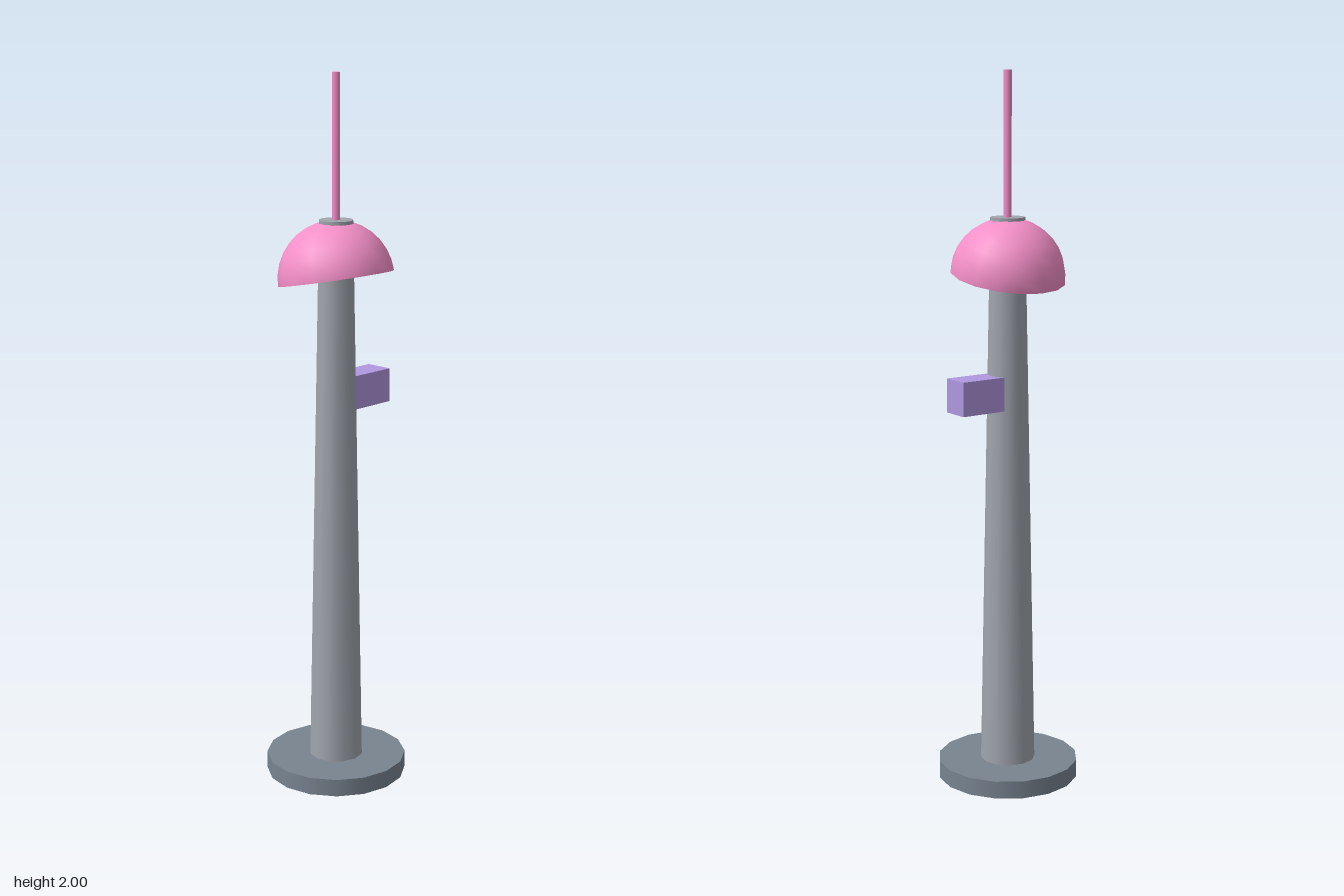
import * as THREE from 'three';

export function createModel() {
  const model = new THREE.Group();

  const add = (name, geometry, color, y, side = THREE.FrontSide) => {
    const mesh = new THREE.Mesh(geometry, new THREE.MeshStandardMaterial({ color, side }));
    mesh.name = name;
    mesh.position.y = y;
    model.add(mesh);
    return mesh;
  };

  // Round foot plate
  add('base', new THREE.CylinderGeometry(0.2, 0.2, 0.05, 16), 0x788490, 0.025);

  // Tapered mast, sunk into the base and just piercing the dome
  const bottom = 0.02, top = 1.606;
  add('mast', new THREE.CylinderGeometry(0.048, 0.078, top - bottom, 12), 0xa0a5ad, (top + bottom) / 2);

  // Open hemisphere, tipped up at the front
  const dome = add('dome',
    new THREE.SphereGeometry(0.16, 16, 8, 0, Math.PI * 2, 0, Math.PI / 2),
    0xf48fc8, 1.445, THREE.DoubleSide);
  dome.rotation.x = -0.2;

  // Thin rod on top
  add('antenna', new THREE.CylinderGeometry(0.011, 0.011, 0.4, 8), 0xf48fc8, 1.8);

  // Equipment box on the left side of the mast
  const box = add('equipmentBox', new THREE.BoxGeometry(0.136, 0.095, 0.08), 0xb097e0, 1.124);
  box.position.x = 0.107;

  return model;
}
